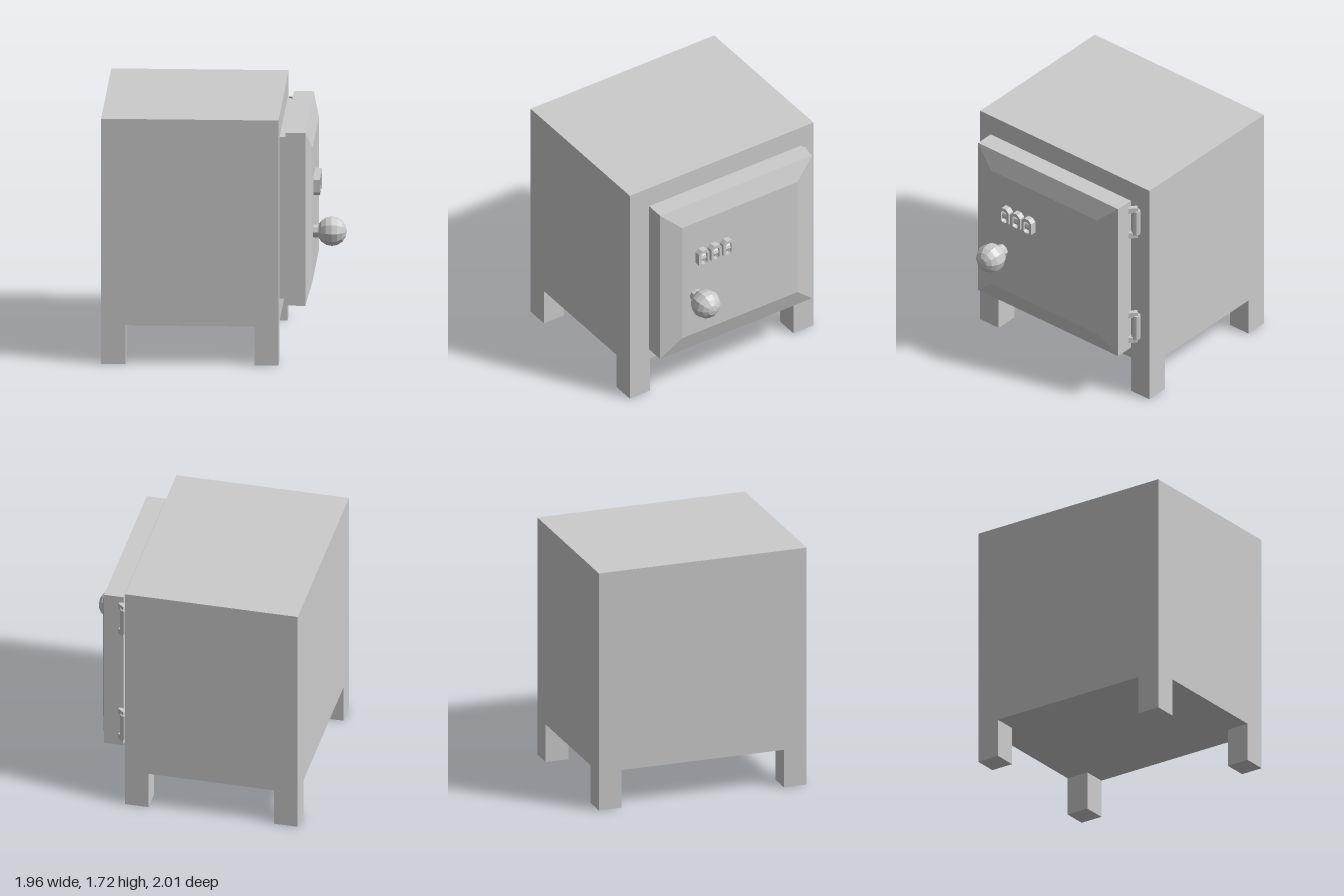
import * as THREE from 'three';

const mat = new THREE.MeshStandardMaterial({ color: 0xcccccc, flatShading: true });

export function createModel() {
  const root = new THREE.Group();
  root.name = 'safe';
  // The whole safe stands turned about the vertical axis
  const safe = new THREE.Group();
  safe.name = 'turnedSafe';
  safe.rotation.y = 0.751;
  safe.position.set(-0.017, 0, -0.046);
  root.add(safe);

  const add = (name, geo, x, y, z, parent = safe) => {
    const mesh = new THREE.Mesh(geo, mat);
    mesh.name = name;
    mesh.position.set(x, y, z);
    parent.add(mesh);
    return mesh;
  };
  const box = (w, h, d) => new THREE.BoxGeometry(w, h, d);

  // Cabinet and its four flush corner legs
  const W = 1.51, D = 1.21, H = 1.715, legH = 0.272, leg = 0.165;
  add('cabinet', box(W, H - legH, D), 0, (H + legH) / 2, 0);
  for (const sx of [-1, 1]) {
    for (const sz of [-1, 1]) {
      add('leg', box(leg, legH, leg), sx * (W - leg) / 2, legH / 2, sz * (D - leg) / 2);
    }
  }

  // Door: inner plug, slab and bevelled front panel
  const doorY = 0.995;
  add('doorPlug', box(1.16, 1.13, 0.06), 0, doorY, 0.62);
  add('doorSlab', box(1.25, 1.21, 0.134), 0, doorY, 0.715);
  const bevel = box(1.25, 1.21, 0.043);
  const p = bevel.attributes.position;
  for (let i = 0; i < p.count; i++) {
    if (p.getZ(i) > 0) p.setXY(i, p.getX(i) * 0.76, p.getY(i) * 0.77);
  }
  bevel.computeVertexNormals();
  add('doorPanel', bevel, 0, doorY, 0.8035);

  // Knob on a short stem
  const stem = new THREE.CylinderGeometry(0.045, 0.045, 0.1, 8).rotateX(Math.PI / 2);
  add('knobStem', stem, -0.366, 0.855, 0.865);
  const ball = new THREE.SphereGeometry(0.102, 10, 8).rotateX(Math.PI / 2);
  add('knob', ball, -0.366, 0.855, 0.952);

  // Three combination dials: chamfered frames around small wheels
  const chamfered = (Type, w, h, c) => new Type([
    [-w + c, -h], [w - c, -h], [w, -h + c], [w, h - c],
    [w - c, h], [-w + c, h], [-w, h - c], [-w, -h + c],
  ].map(([x, y]) => new THREE.Vector2(x, y)));
  const frame = chamfered(THREE.Shape, 0.043, 0.068, 0.024);
  frame.holes.push(chamfered(THREE.Path, 0.024, 0.044, 0.01));
  const frameGeo = new THREE.ExtrudeGeometry(frame, { depth: 0.046, bevelEnabled: false });
  const wheelGeo = new THREE.CylinderGeometry(0.036, 0.036, 0.04, 10).rotateZ(Math.PI / 2);
  for (let i = 0; i < 3; i++) {
    const x = -0.32 + i * 0.1;
    add('dialFrame', frameGeo, x, 1.167, 0.824);
    add('dialWheel', wheelGeo, x, 1.167, 0.83);
  }

  // Hinges: upright barrel with a bracket at each end reaching the door
  for (const y of [0.573, 1.433]) {
    const hinge = new THREE.Group();
    hinge.name = 'hinge';
    hinge.position.set(0.659, y, 0.632);
    safe.add(hinge);
    add('hingeBarrel', new THREE.CylinderGeometry(0.03, 0.03, 0.19, 8), 0, 0, 0, hinge);
    for (const s of [-1, 1]) {
      const tab = add('hingeBracket', box(0.034, 0.04, 0.064), -0.014, s * 0.102, 0.016, hinge);
      tab.rotation.y = -0.75;
    }
  }
  return root;
}
